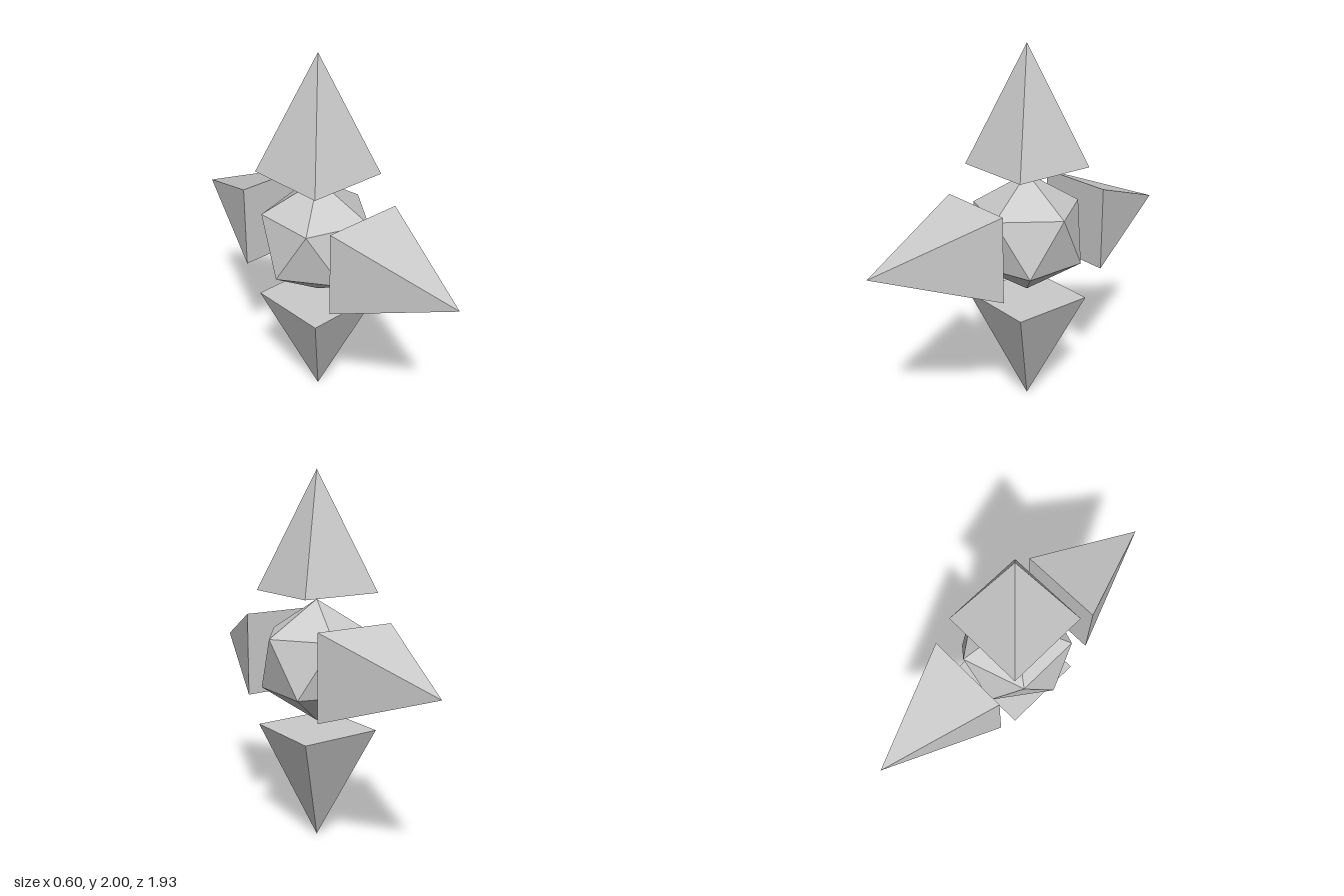
import * as THREE from 'three';

export function createModel() {
  const group = new THREE.Group();
  const material = new THREE.MeshStandardMaterial({ color: 0xcccccc, flatShading: true });
  const centre = 1;

  // Faceted core: twenty-sided, turned so one corner points straight up
  const coreGeometry = new THREE.IcosahedronGeometry(0.333, 0);
  coreGeometry.rotateZ(-Math.atan(2 / (1 + Math.sqrt(5))));
  const core = new THREE.Mesh(coreGeometry, material);
  core.name = 'core';
  core.position.y = centre;
  group.add(core);

  // Square pyramid with its base at the origin and its tip along +y
  const halfWidth = 0.229;
  const height = 0.627;
  const spikeGeometry = new THREE.ConeGeometry(halfWidth * Math.SQRT2, height, 4);
  spikeGeometry.rotateY(Math.PI / 4);
  spikeGeometry.translate(0, height / 2, 0);

  // Four floating spikes pointing away from the core: [name, turn about x, gap to base]
  const spikes = [
    ['topSpike', 0, 0.373],
    ['frontSpike', Math.PI / 2, 0.336],
    ['bottomSpike', Math.PI, 0.373],
    ['backSpike', -Math.PI / 2, 0.336],
  ];
  for (const [name, angle, gap] of spikes) {
    const spike = new THREE.Mesh(spikeGeometry, material);
    spike.name = name;
    spike.rotation.x = angle;
    spike.position.set(0, centre + gap * Math.cos(angle), gap * Math.sin(angle));
    group.add(spike);
  }

  return group;
}
